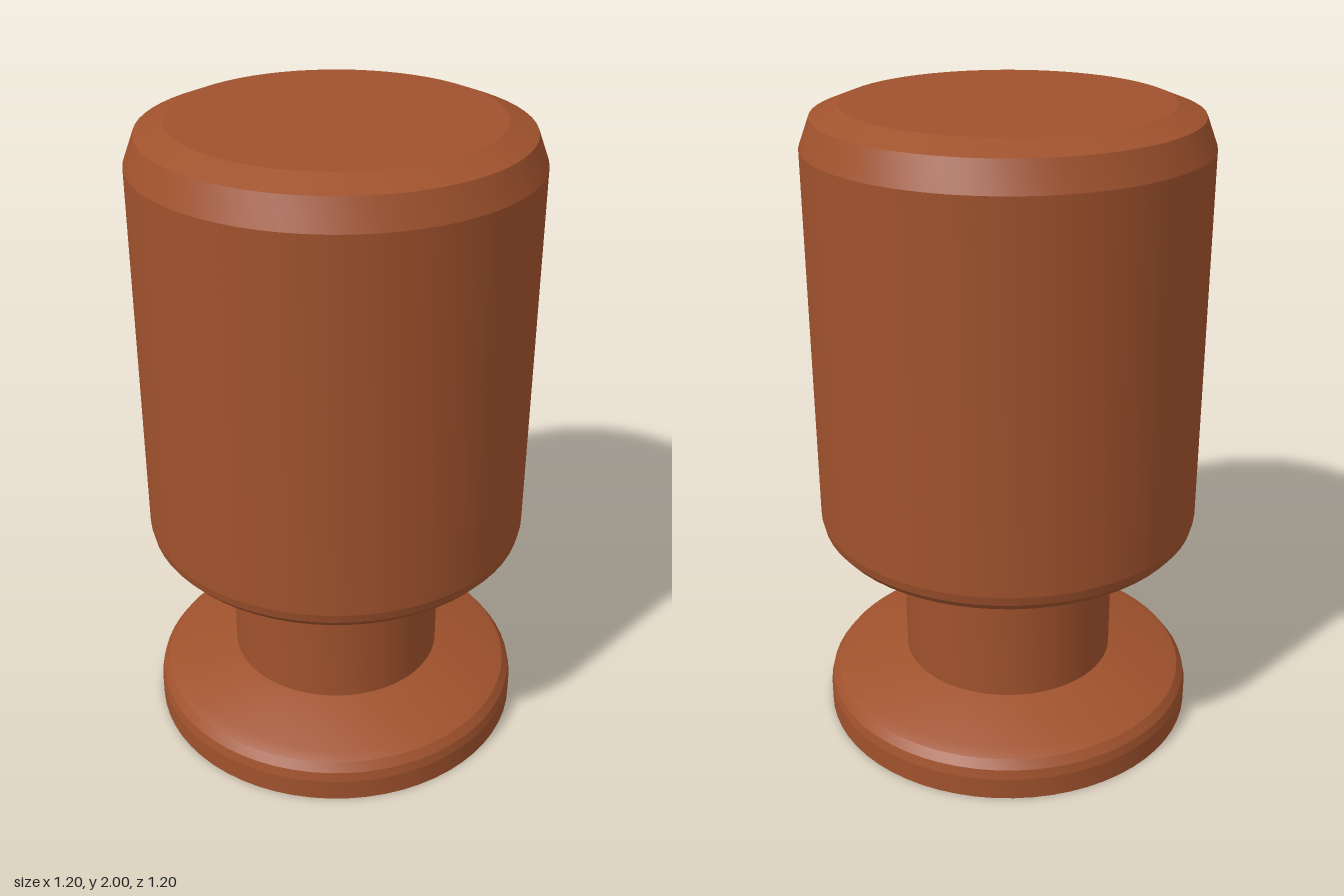
import * as THREE from 'three';
import { toCreasedNormals } from 'three/addons/utils/BufferGeometryUtils.js';

const SEGMENTS = 64;

export function createModel() {
  const model = new THREE.Group();
  model.name = 'turnedPeg';

  const brown = new THREE.MeshStandardMaterial({ color: 0xa0522d });
  brown.name = 'sienna brown';

  // Turn a profile of [radius, height] points, bottom to top, keeping edges crisp
  function turn(name, profile) {
    const points = profile.map(([r, y]) => new THREE.Vector2(r, y));
    const geometry = toCreasedNormals(new THREE.LatheGeometry(points, SEGMENTS), 0.2);
    const mesh = new THREE.Mesh(geometry, brown);
    mesh.name = name;
    model.add(mesh);
  }

  // Base flange: rounded rim, shallow cone up to the neck
  turn('baseFlange', [
    [0, 0], [0.6, 0], [0.6, 0.07], [0.593, 0.1], [0.573, 0.127], [0.54, 0.142], [0.34, 0.194],
  ]);

  // Straight neck
  turn('neck', [[0.34, 0.194], [0.34, 0.598]]);

  // Head: shallow cone, rounded lower rim, tall side, two-step chamfered top
  turn('head', [
    [0.34, 0.598], [0.54, 0.648], [0.573, 0.661], [0.593, 0.685], [0.6, 0.715],
    [0.6, 1.88], [0.567, 1.967], [0.483, 2], [0, 2],
  ]);

  return model;
}
